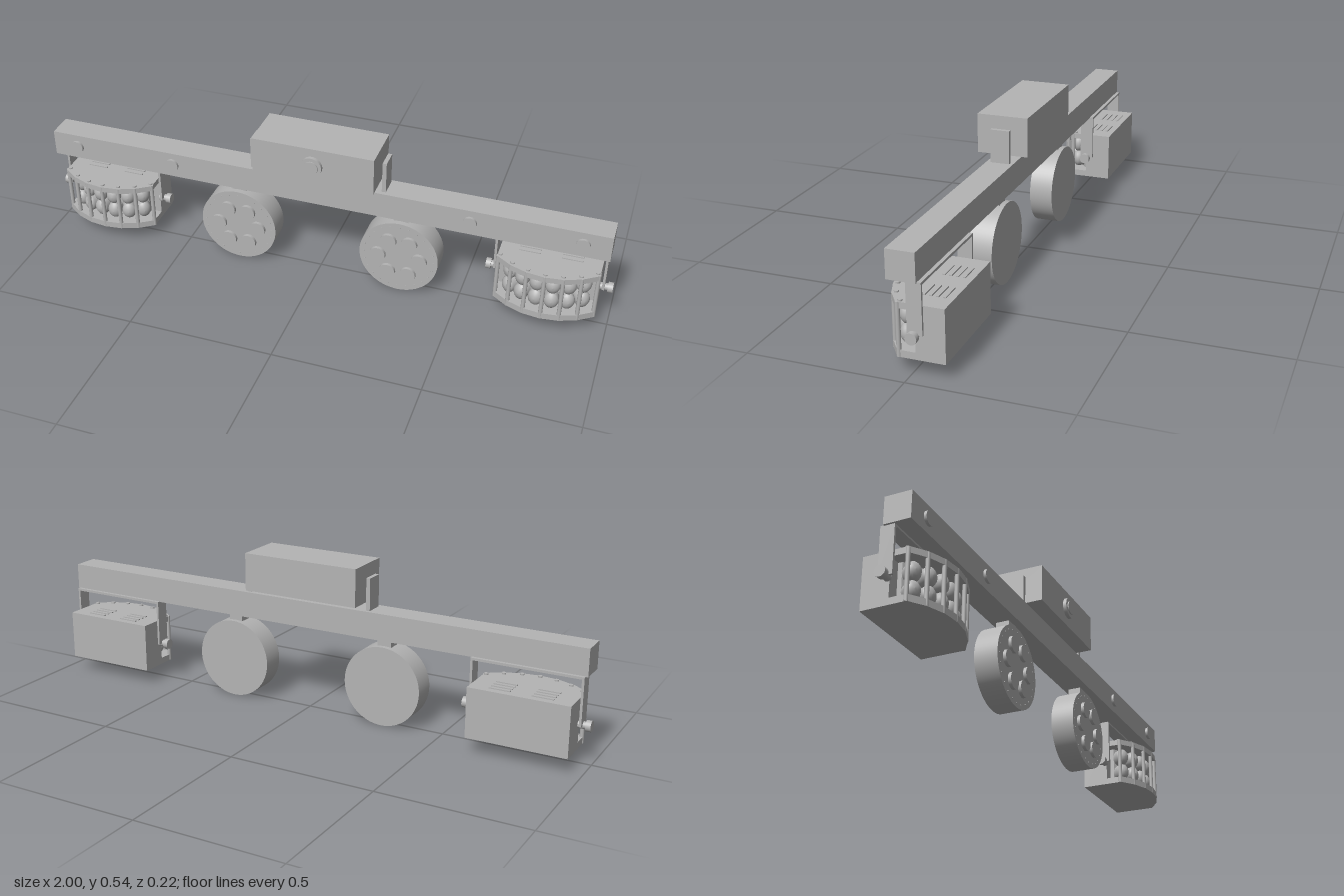
import * as THREE from 'three';

const grey = new THREE.MeshStandardMaterial({ color: 0xb4b4b4 });
grey.name = 'plain grey';

function add(parent, name, geometry, x = 0, y = 0, z = 0) {
  const mesh = new THREE.Mesh(geometry, grey);
  mesh.name = name;
  mesh.position.set(x, y, z);
  parent.add(mesh);
  return mesh;
}

// Box given by its lower and upper corners
function box(parent, name, x0, x1, y0, y1, z0, z1) {
  return add(parent, name, new THREE.BoxGeometry(x1 - x0, y1 - y0, z1 - z0),
    (x0 + x1) / 2, (y0 + y1) / 2, (z0 + z1) / 2);
}

// Round parts along z, x and y
function discZ(parent, name, r, x, y, z0, z1, sides = 32) {
  const g = new THREE.CylinderGeometry(r, r, z1 - z0, sides).rotateX(Math.PI / 2);
  return add(parent, name, g, x, y, (z0 + z1) / 2);
}
function rodX(parent, name, r, x0, x1, y, z) {
  const g = new THREE.CylinderGeometry(r, r, Math.abs(x1 - x0), 24).rotateZ(Math.PI / 2);
  return add(parent, name, g, (x0 + x1) / 2, y, z);
}
function rodY(parent, name, r, x, y0, y1, z, sides = 12) {
  return add(parent, name, new THREE.CylinderGeometry(r, r, y1 - y0, sides), x, (y0 + y1) / 2, z);
}

// Fan front of the effect light: six facets on a circle
const ARC_R = 0.25, ARC_Z = -0.145, FACETS = 6, STEP = 0.2457;
const onArc = (r, i) => {
  const a = (i - FACETS / 2) * STEP;
  return { x: r * Math.sin(a), z: ARC_Z + r * Math.cos(a), a };
};

// Slab with straight sides and a faceted curved front
function fanSlab(parent, name, r, y0, y1, zBack) {
  const pts = [];
  for (let i = 0; i <= FACETS; i++) {
    const p = onArc(r, i);
    pts.push(new THREE.Vector2(p.x, -p.z));
  }
  const shape = new THREE.Shape([
    new THREE.Vector2(pts[0].x, -zBack), ...pts, new THREE.Vector2(pts[FACETS].x, -zBack)]);
  const g = new THREE.ExtrudeGeometry(shape, { depth: y1 - y0, bevelEnabled: false });
  add(parent, name, g.rotateX(-Math.PI / 2), 0, y0, 0);
}

function effectLight(cx) {
  const g = new THREE.Group();
  g.name = 'effectLight';
  g.position.x = cx;
  box(g, 'lightBody', -0.168, 0.168, 0.053, 0.223, -0.108, -0.017);
  fanSlab(g, 'topPlate', ARC_R, 0.203, 0.223, -0.017);
  fanSlab(g, 'bottomPlate', ARC_R, 0.053, 0.075, -0.017);
  fanSlab(g, 'lensPanel', 0.192, 0.075, 0.203, -0.017);

  // Posts with screw heads at the facet corners
  for (let i = 0; i <= FACETS; i++) {
    const p = onArc(ARC_R - 0.006, i);
    rodY(g, 'post', 0.007, p.x, 0.0535, 0.2225, p.z);
    const s = onArc(ARC_R - 0.014, i);
    rodY(g, 'screwHead', 0.007, s.x, 0.223, 0.228, s.z);
  }

  // Two rows of bulging lenses
  const profile = [[0.024, -0.02], [0.025, 0.008], [0.0225, 0.016], [0.016, 0.022], [0.008, 0.026], [0, 0.027]]
    .map(([r, h]) => new THREE.Vector2(r, h));
  const lens = new THREE.LatheGeometry(profile, 24).rotateX(Math.PI / 2).scale(1, 1.24, 1);
  for (let i = 0; i < FACETS; i++) {
    for (const y of [0.109, 0.169]) {
      const p = onArc(0.205, i + 0.5);
      add(g, 'lens', lens, p.x, y, p.z).rotation.y = p.a;
    }
  }

  // Vent slats on top
  for (const x of [-0.07, 0.07]) {
    for (let k = 0; k < 4; k++) {
      const z = -0.08 + k * 0.021;
      box(g, 'ventSlat', x - 0.035, x + 0.035, 0.223, 0.2265, z - 0.004, z + 0.004);
    }
  }

  // Yoke with clamping knobs
  box(g, 'yokeTop', -0.184, 0.184, 0.291, 0.299, -0.047, 0);
  for (const s of [-1, 1]) {
    box(g, 'yokeLeg', s * 0.18 - 0.004, s * 0.18 + 0.004, 0.138, 0.299, -0.047, 0);
    rodX(g, 'knobShaft', 0.012, s * 0.166, s * 0.198, 0.138, -0.023);
    rodX(g, 'knob', 0.018, s * 0.194, s * 0.211, 0.138, -0.023);
  }
  return g;
}

function parLight(cx) {
  const g = new THREE.Group();
  g.name = 'parLight';
  g.position.x = cx;
  discZ(g, 'drum', 0.137, 0, 0.138, -0.035, 0.046, 64);
  box(g, 'neck', -0.025, 0.025, 0.262, 0.298, -0.018, 0.028);
  for (let i = 0; i < 6; i++) {
    const a = i * Math.PI / 3;
    discZ(g, 'lamp', 0.028, 0.072 * Math.cos(a), 0.138 + 0.072 * Math.sin(a), 0.045, 0.057);
  }
  // Ring of small rivets
  for (let i = 0; i < 24; i++) {
    const a = i * Math.PI / 12;
    discZ(g, 'rivet', 0.003, 0.122 * Math.cos(a), 0.138 + 0.122 * Math.sin(a), 0.045, 0.048, 8);
  }
  return g;
}

export function createModel() {
  const model = new THREE.Group();
  model.name = 'lightBar';

  // Crossbar with front buttons
  box(model, 'crossbar', -0.98, 0.98, 0.297, 0.388, -0.035, 0.055);
  for (const x of [-0.89, -0.525, 0.525, 0.89]) discZ(model, 'barLens', 0.023, x, 0.343, 0.054, 0.064);

  // Upper projector box between two upright plates
  box(model, 'projectorBox', -0.21, 0.21, 0.408, 0.538, -0.075, 0.095);
  discZ(model, 'projectorRing', 0.036, 0, 0.474, 0.094, 0.107);
  discZ(model, 'projectorLens', 0.024, 0, 0.474, 0.1, 0.111);
  for (const s of [-1, 1]) {
    box(model, 'projectorBracket', s * 0.23 - 0.007, s * 0.23 + 0.007, 0.387, 0.498, -0.023, 0.041);
  }

  // Hanging lights, mirrored
  for (const s of [-1, 1]) {
    model.add(parLight(s * 0.29));
    model.add(effectLight(s * 0.789));
  }
  return model;
}
